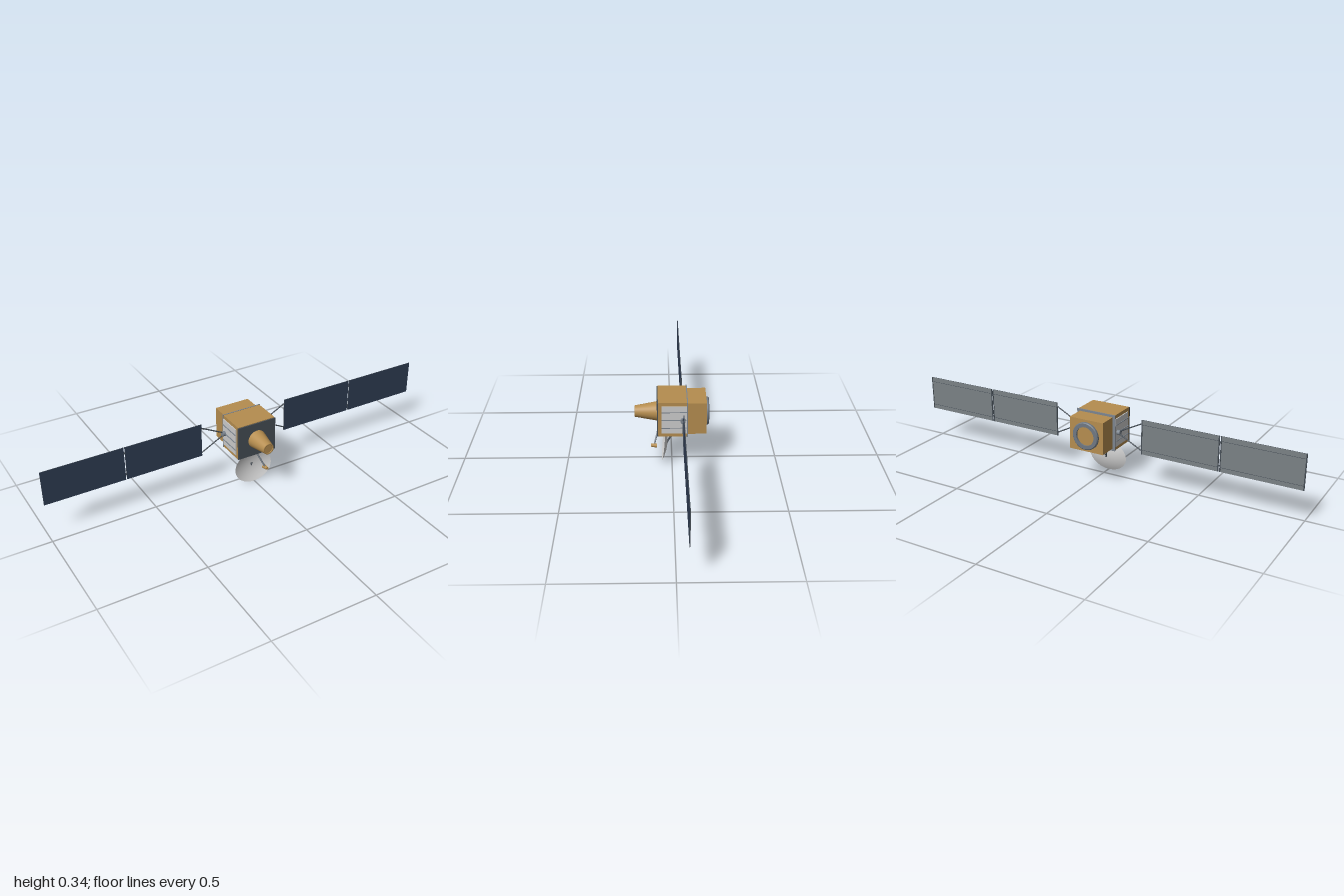
import * as THREE from 'three';

const mat = (name, color, side = THREE.FrontSide) => {
  const m = new THREE.MeshStandardMaterial({ color, side });
  m.name = name;
  return m;
};

export function createModel() {
  const gold = mat('gold foil', 0xb58d4f);
  const navy = mat('solar cell blue', 0x2f3d54);
  const backGrey = mat('panel back grey', 0x7a8185);
  const dark = mat('dark structure', 0x474f57);
  const metal = mat('grey metal', 0x7c858f);
  const white = mat('radiator white', 0xcccccc);
  const dishWhite = mat('dish white', 0xd2d2d2, THREE.DoubleSide);

  const model = new THREE.Group();
  model.name = 'satellite';
  const CY = 0.25, WING_Z = -0.05;

  const add = (name, geo, material, x = 0, y = 0, z = 0, parent = model) => {
    const mesh = new THREE.Mesh(geo, material);
    mesh.name = name;
    mesh.position.set(x, y, z);
    parent.add(mesh);
    return mesh;
  };
  const box = (name, w, h, d, material, x, y, z, parent) =>
    add(name, new THREE.BoxGeometry(w, h, d), material, x, y, z, parent);
  // Cylinder or cone between two points
  const rod = (name, a, b, ra, material, rb = ra, parent = model, sides = 10) => {
    const A = new THREE.Vector3(...a), B = new THREE.Vector3(...b);
    const dir = B.clone().sub(A);
    const mesh = add(name, new THREE.CylinderGeometry(rb, ra, dir.length(), sides), material, 0, 0, 0, parent);
    mesh.position.copy(A).add(B).multiplyScalar(0.5);
    mesh.quaternion.setFromUnitVectors(new THREE.Vector3(0, 1, 0), dir.normalize());
    return mesh;
  };
  // Lathe turned so its axis points along +z; profile is [radius, z]
  const latheZ = (profile, segments = 40) =>
    new THREE.LatheGeometry(profile.map(p => new THREE.Vector2(...p)), segments).rotateX(Math.PI / 2);

  // Main bus, front plate, rear frame and rear module
  box('mainBody', 0.196, 0.174, 0.136, gold, 0, CY, -0.002);
  box('frontPlate', 0.2, 0.168, 0.006, dark, 0, CY, 0.068);
  box('rearFrame', 0.204, 0.177, 0.005, metal, 0, CY, -0.0705);
  box('rearModule', 0.176, 0.156, 0.09, gold, 0, CY, -0.116);

  // Front horn with a recessed mouth
  rod('frontHorn', [0, CY, 0.07], [0, CY, 0.172], 0.046, gold, 0.0275, model, 40);
  add('hornLip', latheZ([[0.0275, 0], [0.027, 0.003], [0.022, 0.003], [0.021, 0]]), gold, 0, CY, 0.172);

  // Rear docking ring around a foil disc
  add('rearRing', latheZ([[0.046, 0], [0.046, -0.013], [0.046, -0.013], [0.063, -0.013],
    [0.063, -0.013], [0.067, -0.009], [0.067, -0.009], [0.067, 0]].reverse()),
    mat('ring metal', 0x6f7882, THREE.DoubleSide), 0, CY, -0.161);
  rod('rearDisc', [0, CY, -0.16], [0, CY, -0.165], 0.046, gold, 0.046, model, 40);

  // Both sides: radiator, ribs, hinge hub, yoke and solar wing
  for (const s of [1, -1]) {
    const side = new THREE.Group();
    side.name = s > 0 ? 'leftWing' : 'rightWing';
    model.add(side);

    box('radiator', 0.005, 0.138, 0.118, white, s * 0.1, CY, -0.009, side);
    for (const dy of [-0.04, 0, 0.04])
      box('radiatorRib', 0.008, 0.003, 0.116, metal, s * 0.102, CY + dy, -0.009, side);

    rod('hingeHub', [s * 0.097, CY, WING_Z], [s * 0.118, CY, WING_Z], 0.012, metal, 0.012, side, 20);
    for (const v of [1, -1])
      rod('yokeStrut', [s * 0.112, CY + v * 0.006, WING_Z], [s * 0.229, CY + v * 0.067, WING_Z],
        0.003, dark, 0.003, side);

    [[0.227, 0.61], [0.615, 1]].forEach(([x0, x1]) => {
      const w = x1 - x0, cx = s * (x0 + x1) / 2;
      // Cells in front, plain back, dark edges
      box('solarPanel', w, 0.169, 0.003, [dark, dark, dark, dark, navy, backGrey], cx, CY + 0.001, WING_Z, side);
      for (const v of [1, -1]) {
        box('backStringer', w, 0.0015, 0.001, dark, cx, CY + v * 0.062, WING_Z - 0.002, side);
        box('panelEndFrame', 0.005, 0.169, 0.001, dark, cx + v * (w / 2 - 0.0025), CY + 0.001, WING_Z - 0.002, side);
      }
    });
    for (const dy of [-0.055, 0.055])
      box('panelHinge', 0.008, 0.008, 0.003, dark, s * 0.6125, CY + dy, WING_Z, side);
  }

  // Oval dish, tipped slightly upward
  const dish = new THREE.Group();
  dish.name = 'dishAntenna';
  dish.position.set(0, 0.081, 0.0395);
  dish.rotation.x = -0.108;
  dish.scale.x = 1.25;
  model.add(dish);
  const bowl = [];
  for (let i = 0; i <= 10; i++) {
    const t = i / 10;
    bowl.push([0.079 * t, 0.018 * (t * t - 1)]);
  }
  add('dishBowl', latheZ(bowl, 48), dishWhite, 0, 0, 0, dish);
  rod('dishCentre', [0, 0, -0.02], [0, 0, -0.0165], 0.004, dark, 0.003, dish);
  for (const s of [1, -1])
    rod('dishStrut', [s * 0.028, 0.166, -0.018], [0, 0.08, 0.024], 0.0028, dark);

  // Feed horn on a boom, aimed at the dish
  rod('feedBoom', [0.005, 0.166, 0.063], [0.038, 0.09, 0.084], 0.004, metal);
  rod('feedHorn', [0.041, 0.088, 0.1], [0.039, 0.0855, 0.072], 0.007, gold, 0.0105, model, 20);

  return model;
}
